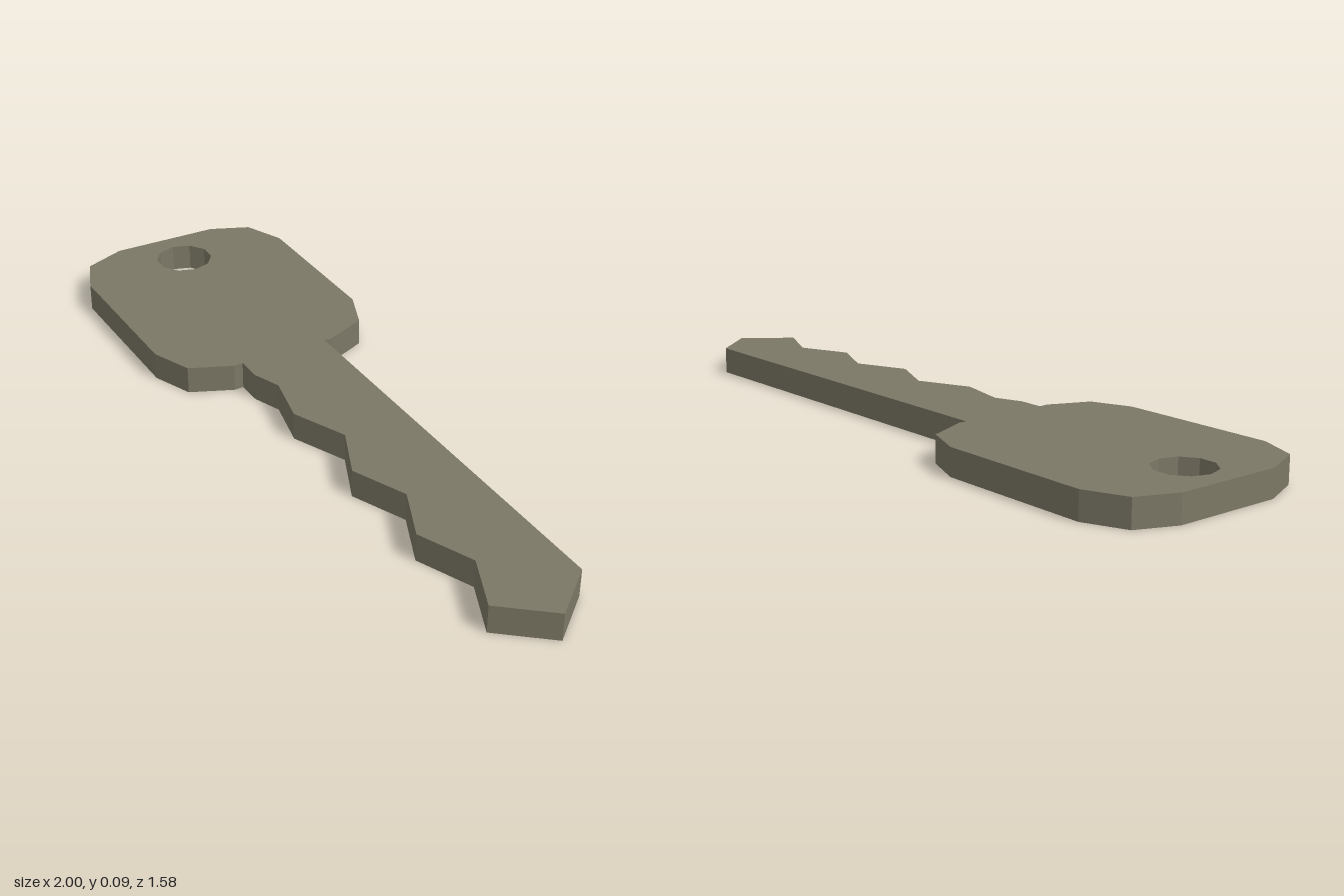
import * as THREE from 'three';

const THICKNESS = 0.085;

// Plan outline as [x, z], running along the head, back edge, tip and teeth
const head = [
  [-0.26, 0.06], [-0.38, 0.133], [-0.51, 0.103], [-0.925, -0.185], [-1, -0.3],
  [-0.97, -0.44], [-0.77, -0.72], [-0.657, -0.79], [-0.52, -0.76],
  [-0.11, -0.47], [-0.035, -0.355], [-0.065, -0.215], [-0.08, -0.195],
];
const tip = [[0.985, 0.553], [1, 0.735]];
const shoulder = [[0.02, 0.222], [-0.09, 0.103], [-0.18, 0.08], [-0.245, 0.035]];

// Three equal teeth, stepping back from the tip
const teeth = [];
for (let i = 0; i < 3; i++) {
  const dx = -0.267 * i, dz = -0.188 * i;
  teeth.push([0.823 + dx, 0.785 + dz], [0.732 + dx, 0.634 + dz]);
}

export function createModel() {
  const group = new THREE.Group();
  group.name = 'key';
  const metal = new THREE.MeshStandardMaterial({ color: 0x7c7866 });
  metal.name = 'dull metal';

  const outline = [...head, ...tip, ...teeth, ...shoulder];
  const shape = new THREE.Shape(outline.map(([x, z]) => new THREE.Vector2(x, -z)));

  // Ten-sided ring hole in the head
  const hole = [];
  for (let i = 0; i < 10; i++) {
    const a = (i / 10) * Math.PI * 2;
    hole.push(new THREE.Vector2(-0.745 + 0.092 * Math.cos(a), 0.489 + 0.092 * Math.sin(a)));
  }
  shape.holes.push(new THREE.Path(hole));

  // Flat plate lying on the ground
  const geometry = new THREE.ExtrudeGeometry(shape, { depth: THICKNESS, bevelEnabled: false });
  geometry.rotateX(-Math.PI / 2);
  const plate = new THREE.Mesh(geometry, metal);
  plate.name = 'keyPlate';
  group.add(plate);
  return group;
}
